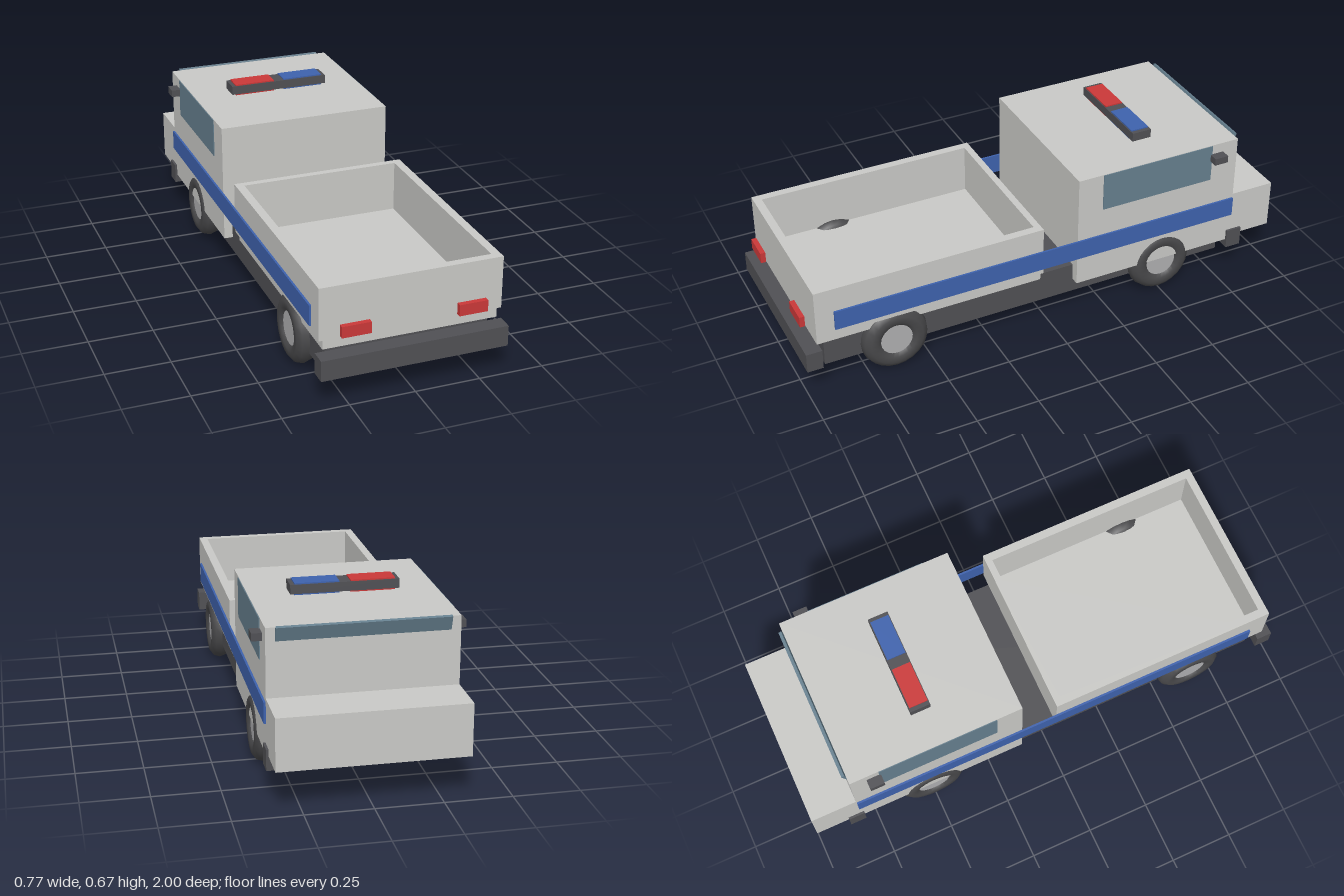
import * as THREE from 'three';

const mat = (name, color) => {
  const m = new THREE.MeshStandardMaterial({ color });
  m.name = name;
  return m;
};

export function createModel() {
  const group = new THREE.Group();
  const body = mat('bodyGrey', 0xc9c9c6);
  const dark = mat('darkTrim', 0x505054);
  const rubber = mat('tyreRubber', 0x48484a);
  const hubGrey = mat('hubGrey', 0xaeaeb0);
  const glass = mat('glass', 0x667f8e);
  const red = mat('red', 0xca3838);
  const blue = mat('blue', 0x3e62ad);
  const lamp = mat('headlightWhite', 0xdededa);

  const add = (name, geometry, material, x = 0, y = 0, z = 0) => {
    const mesh = new THREE.Mesh(geometry, material);
    mesh.name = name;
    mesh.position.set(x, y, z);
    group.add(mesh);
    return mesh;
  };
  // Box given by its limits on each axis
  const box = (name, material, [x0, x1], [y0, y1], [z0, z1]) =>
    add(name, new THREE.BoxGeometry(x1 - x0, y1 - y0, z1 - z0), material,
      (x0 + x1) / 2, (y0 + y1) / 2, (z0 + z1) / 2);
  // Matching boxes on the left (+x) and right (-x)
  const pair = (name, material, [x0, x1], y, z) => {
    box(name + 'Left', material, [x0, x1], y, z);
    box(name + 'Right', material, [-x1, -x0], y, z);
  };

  // Chassis and bumpers
  box('chassis', dark, [-0.312, 0.312], [0.094, 0.22], [-0.778, 0.917]);
  box('tailBumper', dark, [-0.356, 0.356], [0.117, 0.197], [0.937, 1]);
  box('noseBumper', dark, [-0.356, 0.356], [0.117, 0.197], [-0.865, -0.8]);

  // Cab and hood
  box('cab', body, [-0.347, 0.347], [0.152, 0.626], [-0.817, -0.117]);
  box('hood', body, [-0.347, 0.347], [0.17, 0.368], [-1, -0.816]);

  // Open cargo bed
  box('bedFloor', body, [-0.332, 0.332], [0.212, 0.252], [0.035, 0.948]);
  pair('bedWall', body, [0.314, 0.347], [0.249, 0.452], [0.03, 0.952]);
  box('bedHeadboard', body, [-0.314, 0.314], [0.249, 0.452], [0.03, 0.057]);
  box('tailgate', body, [-0.314, 0.314], [0.249, 0.452], [0.92, 0.952]);

  // Glass, with a leaning windscreen
  pair('sideWindow', glass, [0.345, 0.35], [0.47, 0.624], [-0.702, -0.222]);
  const screen = add('windscreen', new THREE.BoxGeometry(0.624, 0.14, 0.012), glass, 0, 0.563, -0.807);
  screen.rotation.x = -0.3;

  // Side stripes and mirrors
  pair('sideStripe', blue, [0.347, 0.355], [0.273, 0.353], [-0.815, 0.88]);
  pair('mirror', dark, [0.345, 0.385], [0.557, 0.586], [-0.752, -0.695]);

  // Roof light bar
  box('lightBar', dark, [-0.202, 0.202], [0.638, 0.673], [-0.507, -0.427]);
  box('redBeacon', red, [-0.186, -0.021], [0.633, 0.678], [-0.504, -0.43]);
  box('blueBeacon', blue, [0.021, 0.186], [0.633, 0.678], [-0.504, -0.43]);

  // Tail lights and headlights
  pair('tailLight', red, [0.166, 0.276], [0.266, 0.31], [0.969, 0.989]);
  const lampGeo = new THREE.CylinderGeometry(0.025, 0.025, 0.02, 16).rotateX(Math.PI / 2);
  for (const s of [-1, 1]) add('headlight', lampGeo, lamp, s * 0.17, 0.158, -0.89);

  // Wheels
  const tyreGeo = new THREE.TorusGeometry(0.092, 0.042, 10, 24).rotateY(Math.PI / 2);
  const hubGeo = new THREE.CylinderGeometry(0.064, 0.064, 0.06, 20).rotateZ(Math.PI / 2);
  for (const s of [-1, 1]) {
    for (const z of [-0.5, 0.64]) {
      add('tyre', tyreGeo, rubber, s * 0.313, 0.137, z);
      add('hub', hubGeo, hubGrey, s * 0.313, 0.137, z);
    }
  }
  return group;
}
